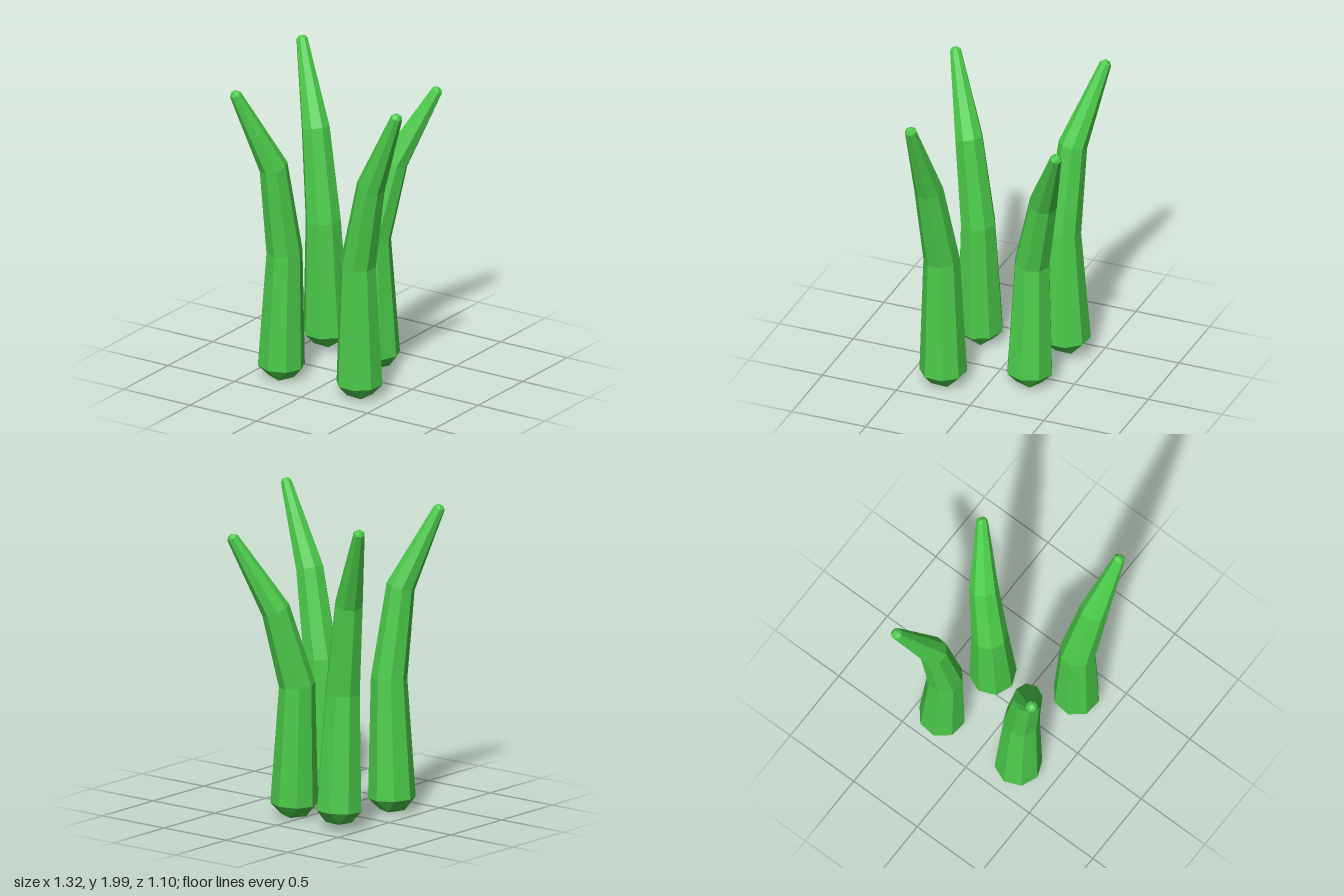
import * as THREE from 'three';

const SIDES = 8;
const UP = new THREE.Vector3(0, 1, 0);

// One blade: an eight-sided tube along a bent path, closed at both ends by a
// bevelled cap that narrows to a square.
function blade(points, radii, turn) {
  const path = points.map(p => new THREE.Vector3(...p));
  const last = path.length - 1;
  const dirs = path.slice(1).map((p, i) => p.clone().sub(path[i]).normalize());
  const rings = [];

  // square = true pulls neighbouring corners together in pairs
  const addRing = (center, dir, r, square) => {
    const q = new THREE.Quaternion().setFromUnitVectors(UP, dir);
    const ring = [];
    for (let k = 0; k < SIDES; k++) {
      const a = turn + (square ? Math.floor(k / 2) * 2 + 1 : k + 0.5) * Math.PI / 4;
      ring.push(new THREE.Vector3(Math.cos(a) * r, 0, Math.sin(a) * r).applyQuaternion(q).add(center));
    }
    rings.push(ring);
  };
  const addCap = (i, dir, sign) =>
    addRing(path[i].clone().addScaledVector(dir, sign * radii[i] * 0.54), dir, radii[i] * 0.54, true);

  addCap(0, dirs[0], -1);
  path.forEach((p, i) => {
    const dir = dirs[Math.max(i - 1, 0)].clone().add(dirs[Math.min(i, last - 1)]).normalize();
    addRing(p, dir, radii[i], false);
  });
  addCap(last, dirs[last - 1], 1);

  const pos = [];
  const tri = (a, b, c) => {
    if (a.distanceTo(b) < 1e-6 || b.distanceTo(c) < 1e-6 || a.distanceTo(c) < 1e-6) return;
    for (const v of [a, b, c]) pos.push(v.x, v.y, v.z);
  };
  // side walls and cap bevels
  for (let i = 0; i + 1 < rings.length; i++) {
    for (let k = 0; k < SIDES; k++) {
      const n = (k + 1) % SIDES;
      const [a, b, c, d] = [rings[i][k], rings[i][n], rings[i + 1][k], rings[i + 1][n]];
      tri(a, c, b);
      tri(b, c, d);
    }
  }
  // square end faces
  const s = rings[0], e = rings[rings.length - 1];
  tri(s[0], s[2], s[4]);
  tri(s[0], s[4], s[6]);
  tri(e[0], e[4], e[2]);
  tri(e[0], e[6], e[4]);

  const geo = new THREE.BufferGeometry();
  geo.setAttribute('position', new THREE.Float32BufferAttribute(pos, 3));
  geo.computeVertexNormals();
  return geo;
}

export function createModel() {
  const group = new THREE.Group();
  group.name = 'grassTuft';
  const green = new THREE.MeshStandardMaterial({ color: 0x4ccc4a, flatShading: true });
  const radii = [0.15, 0.115, 0.092, 0.037];
  const eighth = Math.PI / 8;

  // path points from base to tip, and the turn of the cross-section
  const blades = {
    backRightBlade: [[[-0.345, 0.12, -0.305], [-0.35, 0.87, -0.275], [-0.43, 1.46, -0.31], [-0.627, 1.97, -0.45]], 0.09],
    frontRightBlade: [[[-0.305, 0.085, 0.265], [-0.278, 0.85, 0.27], [-0.31, 1.43, 0.345], [-0.488, 1.93, 0.51]], eighth],
    frontLeftBlade: [[[0.287, 0.088, 0.27], [0.285, 0.885, 0.282], [0.405, 1.44, 0.32], [0.622, 1.96, 0.352]], 0.09],
    backLeftBlade: [[[0.08, 0.085, -0.23], [0.052, 0.85, -0.235], [0.135, 1.34, -0.345], [0.343, 1.805, -0.518]], eighth],
  };
  for (const [name, [points, turn]] of Object.entries(blades)) {
    const mesh = new THREE.Mesh(blade(points, radii, turn), green);
    mesh.name = name;
    group.add(mesh);
  }
  return group;
}
